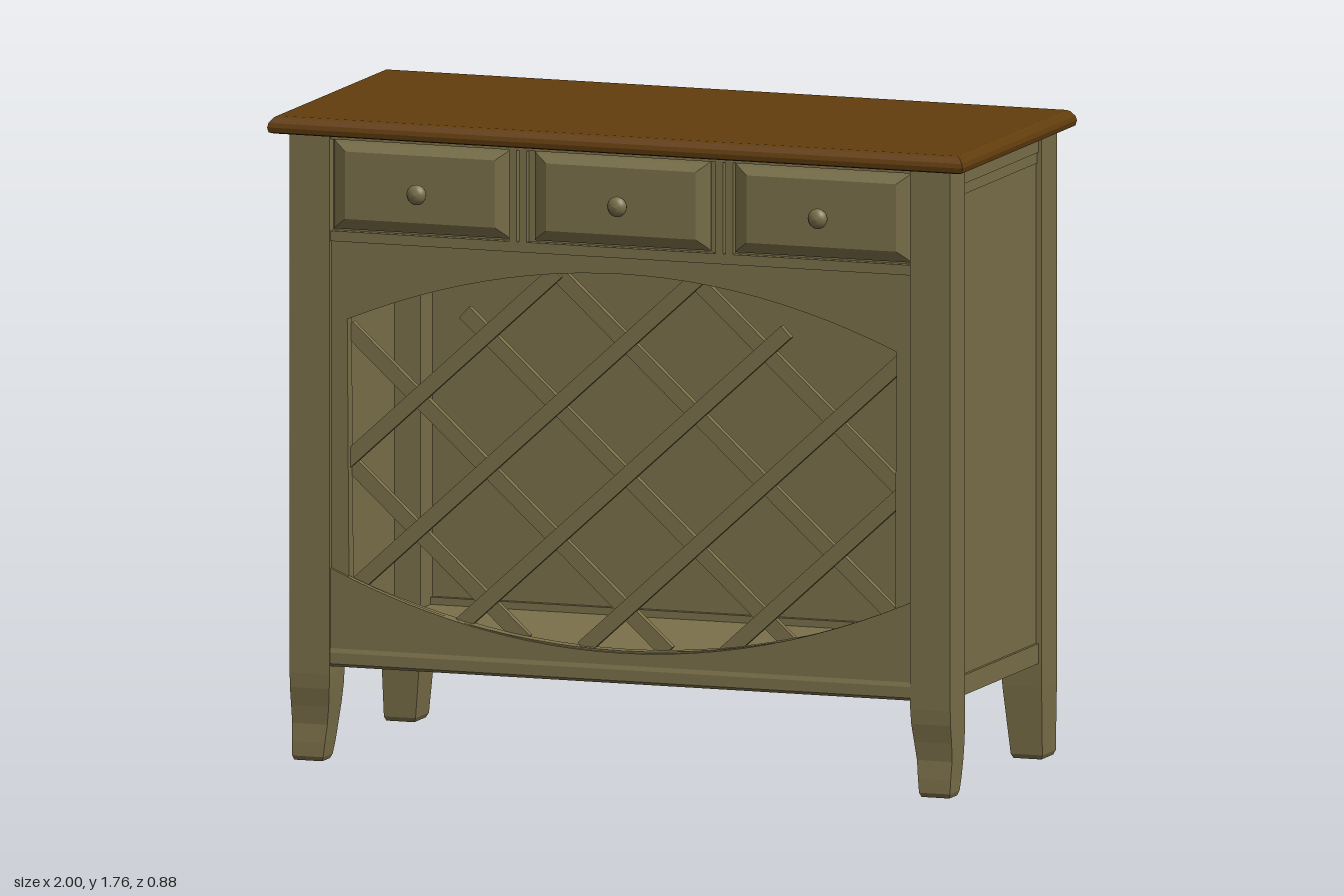
import * as THREE from 'three';

const paint = new THREE.MeshStandardMaterial({ color: 0x7b704a });
paint.name = 'olive paint';
const wood = new THREE.MeshStandardMaterial({ color: 0x633e0d });
wood.name = 'brown wood';

// Stack of rectangles [y, x0, x1, z0, z1] from bottom to top, joined and capped
function loft(sections) {
  const p = [];
  const rings = sections.map(([y, x0, x1, z0, z1]) => [[x0, y, z1], [x1, y, z1], [x1, y, z0], [x0, y, z0]]);
  const quad = (a, b, c, d) => p.push(...a, ...b, ...c, ...a, ...c, ...d);
  for (let i = 0; i < rings.length - 1; i++) {
    const r = rings[i], s = rings[i + 1];
    for (let k = 0; k < 4; k++) quad(r[k], r[(k + 1) % 4], s[(k + 1) % 4], s[k]);
  }
  const r = rings[0], s = rings[rings.length - 1];
  quad(r[3], r[2], r[1], r[0]);
  quad(s[0], s[1], s[2], s[3]);
  const g = new THREE.BufferGeometry();
  g.setAttribute('position', new THREE.Float32BufferAttribute(p, 3));
  g.computeVertexNormals();
  return g;
}

export function createModel() {
  const model = new THREE.Group();
  model.name = 'wineCabinet';
  const add = (name, geo, mat = paint) => {
    const m = new THREE.Mesh(geo, mat);
    m.name = name;
    model.add(m);
    return m;
  };
  const box = (name, x0, x1, y0, y1, z0, z1) => {
    const m = add(name, new THREE.BoxGeometry(x1 - x0, y1 - y0, z1 - z0));
    m.position.set((x0 + x1) / 2, (y0 + y1) / 2, (z0 + z1) / 2);
    return m;
  };

  // Table top with a rounded upper edge
  add('tableTop', loft([
    [1.712, -0.985, 0.985, -0.425, 0.425], [1.716, -0.997, 0.997, -0.437, 0.437],
    [1.73, -1, 1, -0.44, 0.44], [1.742, -0.997, 0.997, -0.437, 0.437],
    [1.756, -0.986, 0.986, -0.426, 0.426], [1.76, -0.978, 0.978, -0.418, 0.418],
  ]), wood);

  // Legs: curved front feet, tapered rear feet
  const front = [
    [0, 0.862, 0.942, 0.325, 0.385], [0.012, 0.857, 0.946, 0.317, 0.391], [0.05, 0.853, 0.947, 0.304, 0.389],
    [0.1, 0.848, 0.949, 0.295, 0.383], [0.15, 0.842, 0.95, 0.289, 0.389],
    [0.2, 0.837, 0.95, 0.286, 0.398], [0.24, 0.835, 0.95, 0.285, 0.4], [1.712, 0.835, 0.95, 0.285, 0.4],
  ];
  const rear = [
    [0, 0.862, 0.942, -0.412, -0.322], [0.012, 0.856, 0.947, -0.419, -0.316],
    [0.2, 0.837, 0.95, -0.42, -0.302], [0.26, 0.835, 0.95, -0.42, -0.3], [1.712, 0.835, 0.95, -0.42, -0.3],
  ];
  const mirrored = (list) => list.map(([y, a, b, c, d]) => [y, -b, -a, c, d]);
  add('leftFrontLeg', loft(front));
  add('rightFrontLeg', loft(mirrored(front)));
  add('leftRearLeg', loft(rear));
  add('rightRearLeg', loft(mirrored(rear)));

  // Side panels with rails above and below
  for (const [side, s] of [['left', 1], ['right', -1]]) {
    const sideBox = (name, a, b, y0, y1) =>
      box(side + name, Math.min(s * a, s * b), Math.max(s * a, s * b), y0, y1, -0.301, 0.286);
    sideBox('SidePanel', 0.91, 0.934, 0.3, 1.7);
    sideBox('SideBottomRail', 0.895, 0.942, 0.265, 0.32);
    sideBox('SideTopRail', 0.895, 0.942, 1.66, 1.712);
    sideBox('SideTopBead', 0.91, 0.938, 1.63, 1.66);
  }

  // Back, floor and the ceiling under the drawers
  box('backPanel', -0.836, 0.836, 0.3, 1.712, -0.41, -0.39);
  box('backBottomRail', -0.836, 0.836, 0.265, 0.335, -0.413, -0.375);
  box('floor', -0.91, 0.91, 0.29, 0.315, -0.4, 0.37);
  box('ceiling', -0.91, 0.91, 1.42, 1.435, -0.4, 0.36);

  // Front frame with the arched opening
  const frame = new THREE.Shape();
  frame.moveTo(-0.836, 0.27).lineTo(0.836, 0.27).lineTo(0.836, 1.425).lineTo(-0.836, 1.425).closePath();
  const hole = new THREE.Path();
  hole.moveTo(-0.785, 0.5).lineTo(-0.79, 1.21).quadraticCurveTo(0, 1.545, 0.79, 1.21)
    .lineTo(0.785, 0.5).quadraticCurveTo(0, 0.2, -0.785, 0.5);
  frame.holes.push(hole);
  const frameGeo = new THREE.ExtrudeGeometry(frame, { depth: 0.035, bevelEnabled: false, curveSegments: 24 });
  add('archedFrame', frameGeo).position.z = 0.35;

  // Curved apron and bottom moulding
  const apron = new THREE.Shape();
  apron.moveTo(-0.835, 0.3).lineTo(0.835, 0.3).lineTo(0.835, 0.53).quadraticCurveTo(0, 0.16, -0.835, 0.53).closePath();
  const apronGeo = new THREE.ExtrudeGeometry(apron, { depth: 0.02, bevelEnabled: false, curveSegments: 24 });
  add('curvedApron', apronGeo).position.z = 0.375;
  add('bottomMoulding', loft([
    [0.262, -0.836, 0.836, 0.34, 0.392], [0.27, -0.836, 0.836, 0.34, 0.399],
    [0.3, -0.836, 0.836, 0.34, 0.399], [0.315, -0.836, 0.836, 0.34, 0.394],
  ]));

  // Diagonal lattice: [crossing x at mid height, lower end x, upper end x] for rising bars
  const slope = 0.91, midY = 0.82;
  const bars = [[-0.8, -0.81, -0.195], [-0.4, -0.79, 0.22], [0, -0.47, 0.465], [0.4, -0.12, 0.8], [0.8, 0.29, 0.81]];
  for (const s of [1, -1]) {
    for (const [c, x0, x1] of bars) {
      const len = (x1 - x0) * Math.hypot(1, slope);
      const bar = add('latticeBar', new THREE.BoxGeometry(len, 0.042, 0.02));
      const xm = (x0 + x1) / 2;
      bar.position.set(s * xm, midY + slope * (xm - c), s > 0 ? 0.358 : 0.346);
      bar.rotation.z = s * Math.atan(slope);
    }
  }

  // Drawer row: backing, rails and grooved dividers
  box('drawerBacking', -0.836, 0.836, 1.42, 1.712, 0.33, 0.372);
  box('drawerRail', -0.836, 0.836, 1.422, 1.45, 0.35, 0.392);
  box('topRail', -0.836, 0.836, 1.7, 1.712, 0.35, 0.392);
  for (const x of [-0.297, 0.297]) {
    for (const d of [-0.014, 0.014]) box('drawerDivider', x + d - 0.011, x + d + 0.011, 1.45, 1.7, 0.36, 0.392);
  }

  // Bevelled drawer fronts with round knobs
  const knobProfile = [[0.001, 0], [0.014, 0], [0.011, 0.012], [0.014, 0.022], [0.026, 0.028],
    [0.028, 0.036], [0.022, 0.046], [0.012, 0.051], [0, 0.053]].map(([r, y]) => new THREE.Vector2(r, y));
  for (const x of [-0.577, 0, 0.577]) {
    const drawer = add('drawerFront', loft([
      [0.36, -0.253, 0.253, -0.122, 0.122], [0.378, -0.253, 0.253, -0.122, 0.122],
      [0.382, -0.245, 0.245, -0.114, 0.114], [0.395, -0.215, 0.215, -0.092, 0.092],
    ]).rotateX(Math.PI / 2));
    drawer.position.set(x, 1.577, 0);
    const knob = add('drawerKnob', new THREE.LatheGeometry(knobProfile, 24).rotateX(Math.PI / 2));
    knob.position.set(x, 1.567, 0.388);
  }
  return model;
}
